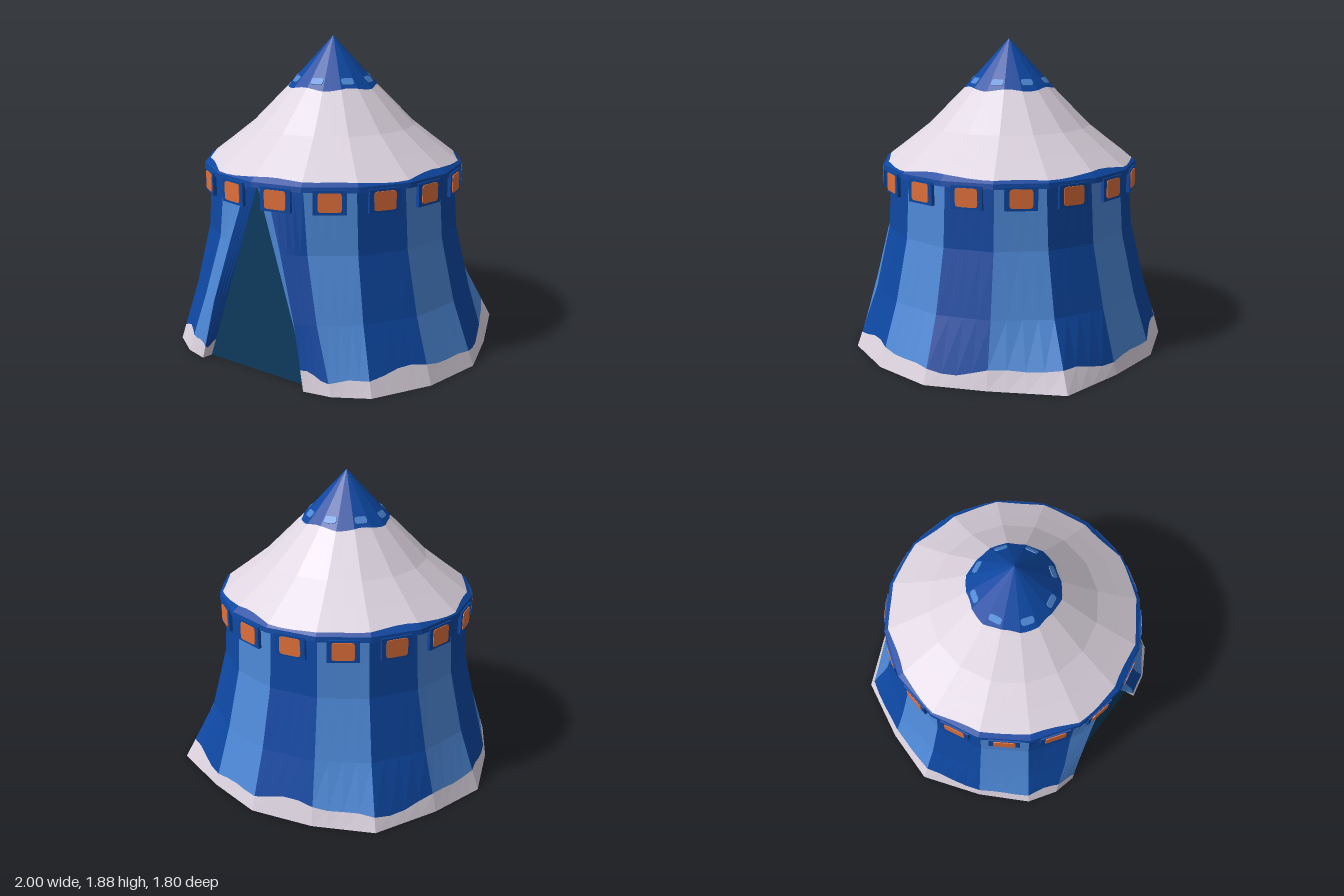
import * as THREE from 'three';

const CZ = 0.07;          // tent axis sits slightly forward
const SIDES = 16;
const STEP = (Math.PI * 2) / SIDES;

const mat = (name, color) => {
  const m = new THREE.MeshStandardMaterial({ color });
  m.name = name;
  return m;
};
const V = (x, y, z) => new THREE.Vector3(x, y, z);
const polar = (a, r, y) => V(Math.sin(a) * r, y, CZ + Math.cos(a) * r);

// Faceted surface between neighbouring columns of points (left to right, bottom to top)
function skin(columns) {
  const pos = [];
  for (let i = 0; i < columns.length - 1; i++) {
    const l = columns[i], r = columns[i + 1];
    for (let j = 0; j < l.length - 1; j++) {
      for (const p of [l[j], r[j], r[j + 1], l[j], r[j + 1], l[j + 1]]) pos.push(p.x, p.y, p.z);
    }
  }
  const g = new THREE.BufferGeometry();
  g.setAttribute('position', new THREE.Float32BufferAttribute(pos, 3));
  g.computeVertexNormals();
  return g;
}

// Subdivide the span between two columns so that a wavy seam can cross it
function subdivide(a, b, n) {
  return Array.from({ length: n + 1 }, (_, s) => a.map((p, j) => p.clone().lerp(b[j], s / n)));
}

function roundedRect(w, h, r) {
  const s = new THREE.Shape();
  const x = w / 2, y = h / 2;
  s.moveTo(-x + r, -y);
  s.lineTo(x - r, -y); s.quadraticCurveTo(x, -y, x, -y + r);
  s.lineTo(x, y - r); s.quadraticCurveTo(x, y, x - r, y);
  s.lineTo(-x + r, y); s.quadraticCurveTo(-x, y, -x, y - r);
  s.lineTo(-x, -y + r); s.quadraticCurveTo(-x, -y, -x + r, -y);
  return s;
}

export function createModel() {
  const tent = new THREE.Group();
  tent.name = 'tent';
  const blue = mat('deepBlue', 0x0d47a1);
  const light = mat('lightBlue', 0x4d88d6);
  const white = mat('canvasWhite', 0xdcd3df);
  const orange = mat('orange', 0xe0703a);
  const dark = mat('doorwayTeal', 0x0d3b5e);

  const add = (parent, name, geo, material) => {
    const m = new THREE.Mesh(geo, material);
    m.name = name;
    parent.add(m);
    return m;
  };
  const group = (name) => {
    const g = new THREE.Group();
    g.name = name;
    tent.add(g);
    return g;
  };

  // ---- Walls: uneven hem on the ground, drawn in to a regular ring under the roof
  const heights = [0, 0.37, 0.74, 1.1];
  const radii = [1, 0.86, 0.77, 0.745];
  const pull = [1, 0.55, 0.17, 0];
  const hem = [
    [0.54, 0.86], [0.73, 0.75], [0.92, 0.43], [1, 0.07], [0.9, -0.28],
    [0.74, -0.7], [0.36, -0.83], [0, -0.905], [-0.38, -0.82], [-0.72, -0.66],
    [-0.9, -0.28], [-1, 0.07], [-0.86, 0.45], [-0.69, 0.75], [-0.52, 0.86],
  ];
  const wallColumns = hem.map(([x, z], i) => {
    const a = (i + 1) * STEP;
    let hemAngle = Math.atan2(x, z - CZ);
    if (hemAngle < 0) hemAngle += Math.PI * 2;
    const hemRadius = Math.hypot(x, z - CZ);
    return heights.map((y, j) => polar(
      a + (hemAngle - a) * pull[j],
      j === 0 ? hemRadius : radii[j] + (hemRadius - 1) * 0.25 * pull[j], y));
  });

  // Doorway edges: outer flap edge and the inner edge of the folded-back cloth
  const flapX = [0.375, 0.295, 0.185, 0.07];
  const flapZ = [0.895, 0.868, 0.838, 0.812];
  const doorZ = [0.83, 0.82, 0.81, 0.8];
  const flapEdge = (s) => heights.map((y, j) => V(s * flapX[j], y, flapZ[j]));
  const doorEdge = (s) => heights.map((y, j) => V(s * 0.365 * (1 - y / 1.1), y, doorZ[j]));
  const columns = [doorEdge(1), flapEdge(1), ...wallColumns, flapEdge(-1), doorEdge(-1)];

  const walls = group('walls');
  const skirt = group('skirt');
  const hemWave = (u) => 0.097 + 0.022 * Math.sin(u * 2.1) + 0.012 * Math.sin(u * 5.3 + 1);
  for (let i = 0; i < columns.length - 1; i++) {
    const n = 4;
    const cols = subdivide(columns[i], columns[i + 1], n);
    const seam = cols.map((c, s) => c[0].clone().lerp(c[1], hemWave(i + s / n) / heights[1]));
    add(walls, 'wallStripe', skin(cols.map((c, s) => [seam[s], ...c.slice(1)])), i % 2 ? blue : light);
    add(skirt, 'skirtPanel', skin(cols.map((c, s) => [c[0], seam[s]])), white);
  }

  // Dark doorway
  add(tent, 'doorway', skin([doorEdge(-1), doorEdge(1)]), dark);

  // Floor, facing down
  const floor = new THREE.ShapeGeometry(
    new THREE.Shape(columns.map((c) => new THREE.Vector2(c[0].x, c[0].z))));
  floor.rotateX(Math.PI / 2);
  add(tent, 'floor', floor, blue);

  // ---- Roof: blue rim, white canopy and blue cap with wavy seams
  const rimCols = [], canopyCols = [], capCols = [];
  const profile = [[0.7, 1.1], [0.79, 1.1], [0.785, 1.13], [0.64, 1.24], [0.5, 1.35], [0.28, 1.572], [0, 1.875]];
  const corner = (k) => profile.map(([r, y]) => polar(k * STEP, r, y));
  for (let k = 0; k < SIDES; k++) {
    subdivide(corner(k), corner(k + 1), 4).forEach((c, s) => {
      const a = (k + s / 4) * STEP;
      const low = c[2].clone().lerp(c[3], 0.17 + 0.07 * Math.sin(a * 5) + 0.05 * Math.sin(a * 9 + 1));
      const high = c[5].clone().lerp(c[6], 0.03 + 0.025 * Math.sin(a * 6 + 2));
      rimCols.push([c[0], c[1], c[2], low]);
      canopyCols.push([low, c[3], c[4], c[5], high]);
      capCols.push([high, c[6]]);
    });
  }
  const roof = group('roof');
  add(roof, 'roofRim', skin(rimCols), blue);
  add(roof, 'canopy', skin(canopyCols), white);
  add(roof, 'roofCap', skin(capCols), blue);

  // Light dashes around the cap, lying on its slope
  const dashGeo = new THREE.ExtrudeGeometry(roundedRect(0.075, 0.045, 0.014),
    { depth: 0.006, bevelEnabled: false, curveSegments: 2 });
  dashGeo.rotateX(-Math.atan2(0.275, 0.303));
  for (let k = 0; k < 8; k++) {
    const a = (2 * k + 0.5) * STEP;
    const dash = add(roof, 'capDash', dashGeo, light);
    dash.position.copy(polar(a, 0.228, 1.622));
    dash.rotation.y = a;
  }

  // ---- Hanging valance tabs with orange patches
  const valance = group('valance');
  const tabGeo = new THREE.BoxGeometry(0.185, 0.135, 0.02);
  const patchGeo = new THREE.ExtrudeGeometry(roundedRect(0.13, 0.108, 0.016),
    { depth: 0.006, bevelEnabled: false, curveSegments: 2 });
  for (let k = 0; k < SIDES; k++) {
    const a = (k + 0.5) * STEP;
    const tab = add(valance, 'valanceTab', tabGeo, blue);
    tab.position.copy(polar(a, 0.772, 1.046));
    tab.rotation.y = a;
    const patch = add(valance, 'valancePatch', patchGeo, orange);
    patch.position.copy(polar(a, 0.781, 1.047));
    patch.rotation.y = a;
  }

  return tent;
}
